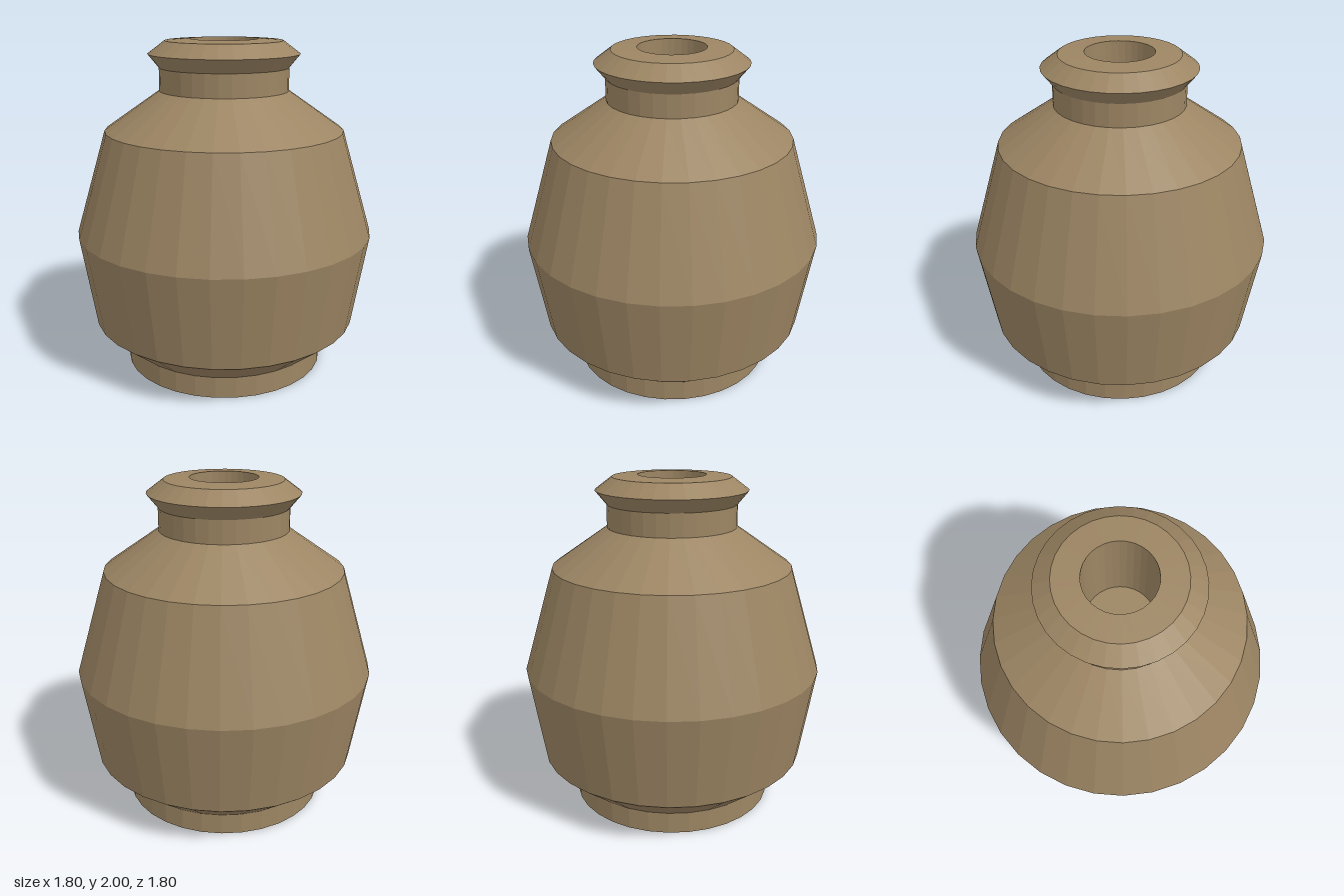
import * as THREE from 'three';

const SIDES = 32;

// Faceted ring surface turned around the y axis from [radius, height] pairs.
function turned(name, profile, material) {
  const points = profile.map(([r, y]) => new THREE.Vector2(r, y));
  const geometry = new THREE.LatheGeometry(points, SIDES).toNonIndexed();
  geometry.computeVertexNormals();
  const mesh = new THREE.Mesh(geometry, material);
  mesh.name = name;
  return mesh;
}

export function createModel() {
  const clay = new THREE.MeshStandardMaterial({ color: 0x9c8563, flatShading: true });
  const jar = new THREE.Group();
  jar.name = 'jar';

  // Each profile runs upward on the outside, then inward and down the bore.
  jar.add(
    turned('foot', [[0, 0], [0.615, 0], [0.615, 0.13]], clay),
    turned('body', [[0.615, 0.13], [0.81, 0.29], [0.9, 0.85], [0.715, 1.47]], clay),
    turned('shoulder', [[0.715, 1.47], [0.385, 1.7]], clay),
    turned('neck', [[0.385, 1.7], [0.385, 1.835]], clay),
    turned('rim', [[0.385, 1.835], [0.45, 1.915], [0.35, 1.99], [0.2, 2]], clay),
    turned('bore', [[0.2, 2], [0.2, 1.45], [0, 1.45]], clay),
  );
  return jar;
}
